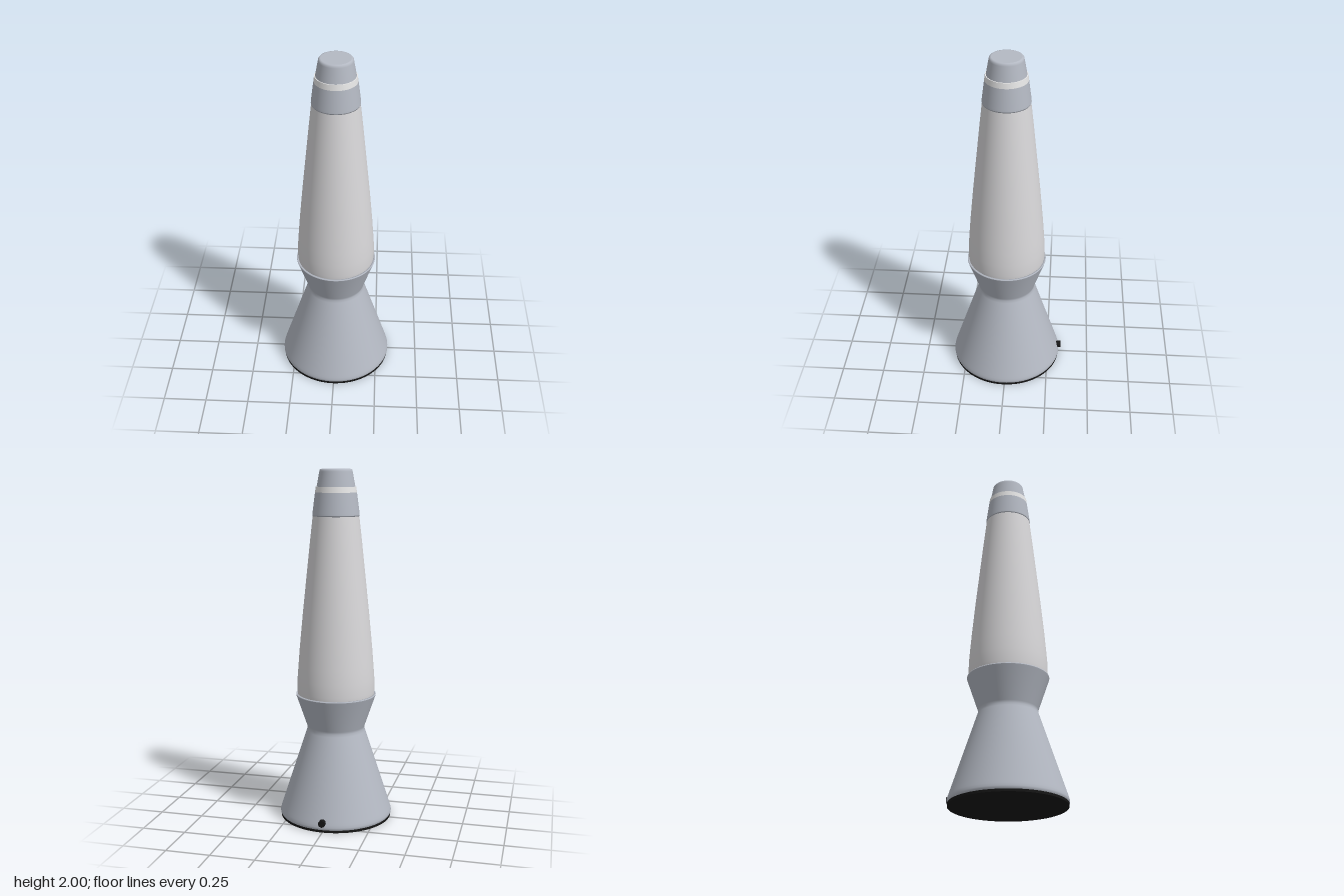
import * as THREE from 'three';

const material = (name, color) => {
  const m = new THREE.MeshStandardMaterial({ color });
  m.name = name;
  return m;
};

export function createModel() {
  const metal = material('brushedMetal', 0xb4b9c3);
  const glass = material('paleGlass', 0xd9d8da);
  const white = material('whiteBand', 0xf0f0f0);
  const black = material('blackPlastic', 0x161616);

  const model = new THREE.Group();
  model.name = 'lamp';
  const body = new THREE.Group();
  body.name = 'turnedBody';
  body.position.z = 0.005;
  model.add(body);

  // Turned part from [radius, height] pairs, listed bottom to top
  const turn = (name, profile, mat) => {
    const points = profile.map(([r, y]) => new THREE.Vector2(r, y));
    const mesh = new THREE.Mesh(new THREE.LatheGeometry(points, 96), mat);
    mesh.name = name;
    body.add(mesh);
  };

  // Underside pad
  const pad = new THREE.Mesh(new THREE.CylinderGeometry(0.322, 0.322, 0.014, 96), black);
  pad.name = 'basePad';
  pad.position.y = 0.007;
  body.add(pad);

  // Flared foot, pinched waist and cup with a thin rim
  turn('base', [
    [0.321, 0.013], [0.325, 0.02], [0.325, 0.03], [0.321, 0.045], [0.316, 0.06],
    [0.17, 0.51], [0.165, 0.525], [0.167, 0.54], [0.228, 0.718], [0.23, 0.725],
  ], metal);
  turn('cupRim', [[0.23, 0.725], [0.229, 0.73], [0.22, 0.73], [0.218, 0.722]], metal);

  // Tapered bottle
  turn('bottle', [
    [0.219, 0.722], [0.222, 0.75], [0.221, 0.82], [0.215, 0.9], [0.207, 1.0],
    [0.188, 1.2], [0.167, 1.4], [0.146, 1.6], [0.128, 1.76],
  ], glass);

  // Stepped cap
  turn('capLip', [[0.125, 1.742], [0.13, 1.742], [0.132, 1.748]], metal);
  turn('capLower', [[0.132, 1.748], [0.131, 1.76], [0.1165, 1.872]], metal);
  turn('capBand', [[0.1165, 1.872], [0.1125, 1.903]], white);
  turn('capLedge', [[0.1125, 1.903], [0.106, 1.903]], white);
  turn('capUpper', [[0.108, 1.9], [0.0925, 1.985], [0.091, 1.993], [0.086, 1.999], [0.08, 2.0]], metal);
  turn('capTop', [[0.08, 2.0], [0, 2.0]], metal);

  // Cord outlet at the back
  const outlet = new THREE.Mesh(new THREE.CylinderGeometry(0.02, 0.02, 0.035, 16), black);
  outlet.name = 'cordOutlet';
  outlet.rotation.x = Math.PI / 2;
  outlet.position.set(0, 0.055, -0.3155);
  model.add(outlet);

  return model;
}
